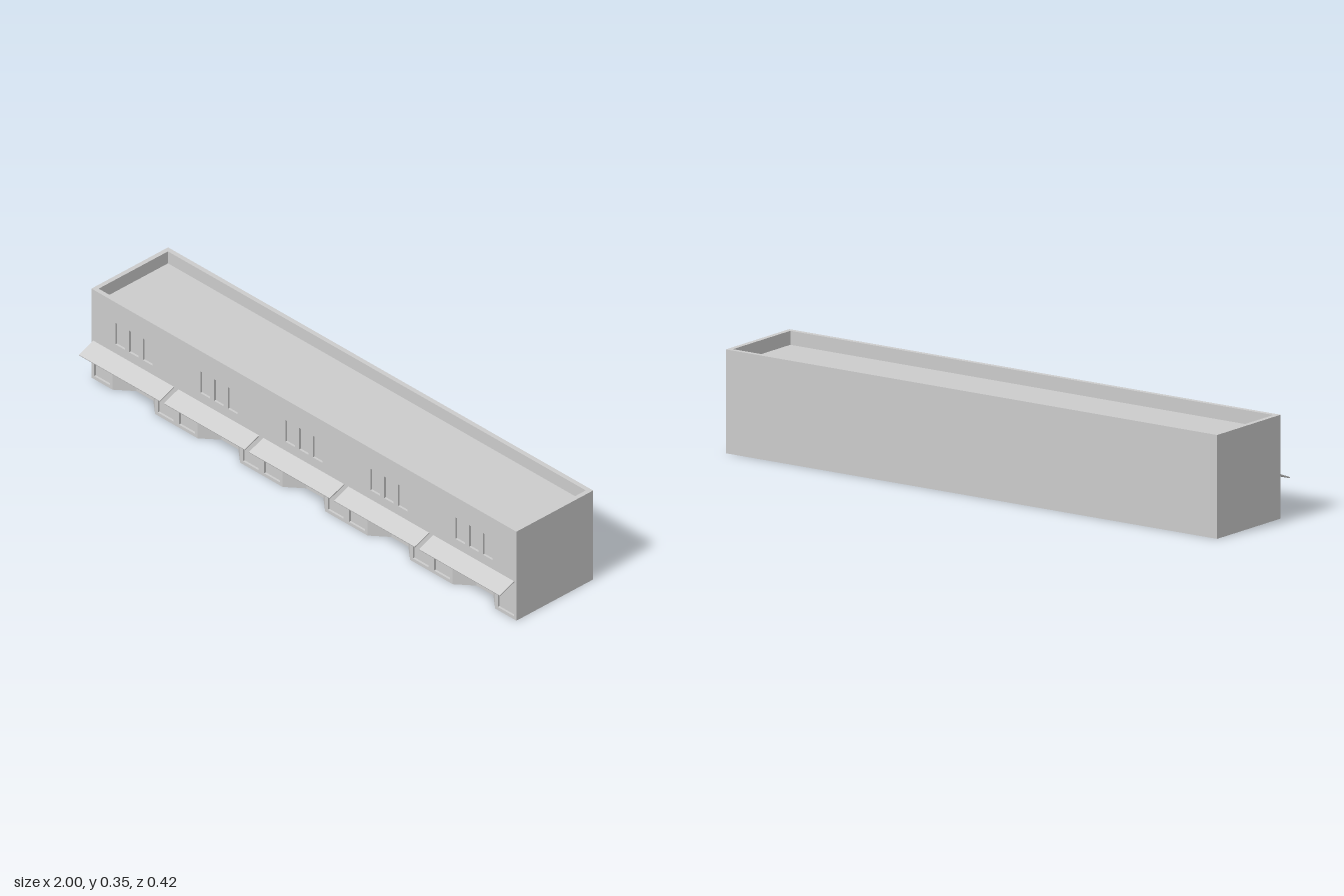
import * as THREE from 'three';

const MAT = new THREE.MeshStandardMaterial({ color: 0xcccccc, side: THREE.DoubleSide, flatShading: true });

const HEIGHT = 0.35, DEPTH = 0.35, FRONT = 0.143, MID_Z = FRONT - DEPTH / 2;
const RIM = 0.017, ROOF_DROP = 0.047;
const UNITS = 5, UNIT_W = 0.4;
const DOOR_H = 0.115, RECESS = 0.008;

// Plan of an entrance recess: x offset and distance behind the facade
const ENTRANCE = [[-0.1, 0], [-0.04, 0.05], [0.04, 0.05], [0.1, 0]];

// Windows of one unit: centre x, centre y, width, height
const WINDOWS = [
  ...[-0.065, 0, 0.065].map(x => ['upperWindow', x, 0.227, 0.045, 0.085]),
  ...[-0.15, 0.15].map(x => ['shopWindow', x, 0.056, 0.075, 0.088]),
];

function addMesh(parent, name, geometry, x = 0, y = 0, z = 0) {
  const mesh = new THREE.Mesh(geometry, MAT);
  mesh.name = name;
  mesh.position.set(x, y, z);
  parent.add(mesh);
  return mesh;
}

// Box without the listed faces (0 +x, 1 -x, 2 +y, 3 -y, 4 +z, 5 -z)
function openBox(w, h, d, dropped) {
  const geometry = new THREE.BoxGeometry(w, h, d);
  const index = Array.from(geometry.index.array);
  geometry.setIndex(index.filter((_, i) => !dropped.includes(Math.floor(i / 6))));
  geometry.clearGroups();
  return geometry;
}

function rectangle(Type, x, y, w, h) {
  const path = new Type();
  path.moveTo(x - w / 2, y - h / 2);
  path.lineTo(x + w / 2, y - h / 2);
  path.lineTo(x + w / 2, y + h / 2);
  path.lineTo(x - w / 2, y + h / 2);
  path.closePath();
  return path;
}

// Front wall with door cut-outs and window holes
function facadeGeometry(centres) {
  const shape = new THREE.Shape();
  shape.moveTo(-1, 0);
  for (const cx of centres) {
    shape.lineTo(cx - 0.1, 0);
    shape.lineTo(cx - 0.1, DOOR_H);
    shape.lineTo(cx + 0.1, DOOR_H);
    shape.lineTo(cx + 0.1, 0);
  }
  shape.lineTo(1, 0);
  shape.lineTo(1, HEIGHT);
  shape.lineTo(-1, HEIGHT);
  shape.closePath();
  for (const cx of centres)
    for (const [, x, y, w, h] of WINDOWS) shape.holes.push(rectangle(THREE.Path, cx + x, y, w, h));
  return new THREE.ShapeGeometry(shape);
}

// Splayed walls and ceiling of one entrance
function makeEntrance() {
  const group = new THREE.Group();
  group.name = 'entrance';
  for (let i = 0; i < ENTRANCE.length - 1; i++) {
    const [x0, d0] = ENTRANCE[i], [x1, d1] = ENTRANCE[i + 1];
    const panel = addMesh(group, 'entranceWall',
      new THREE.PlaneGeometry(Math.hypot(x1 - x0, d1 - d0), DOOR_H),
      (x0 + x1) / 2, DOOR_H / 2, -(d0 + d1) / 2);
    panel.rotation.y = Math.atan2(d1 - d0, x1 - x0);
  }
  const plan = new THREE.Shape(ENTRANCE.map(([x, d]) => new THREE.Vector2(x, d)));
  addMesh(group, 'entranceCeiling', new THREE.ShapeGeometry(plan).rotateX(-Math.PI / 2), 0, DOOR_H, 0);
  return group;
}

// Entrance, recessed windows and sloping awning of one shop
function makeUnit() {
  const unit = new THREE.Group();
  unit.name = 'shopUnit';
  unit.add(makeEntrance());
  for (const [name, x, y, w, h] of WINDOWS)
    addMesh(unit, name, openBox(w, h, RECESS, [4]), x, y, -RECESS / 2);

  const run = 0.066, drop = 0.025;
  const awning = addMesh(unit, 'awning',
    new THREE.BoxGeometry(0.38, 0.004, Math.hypot(run, drop)), 0, 0.136, run / 2);
  awning.rotation.x = Math.atan2(drop, run);
  return unit;
}

export function createModel() {
  const model = new THREE.Group();
  model.name = 'shopRow';
  const centres = Array.from({ length: UNITS }, (_, i) => (i - (UNITS - 1) / 2) * UNIT_W);

  // Outer shell, open underneath
  addMesh(model, 'sideAndBackWalls', openBox(2, HEIGHT, DEPTH, [2, 3, 4]), 0, HEIGHT / 2, MID_Z);
  addMesh(model, 'frontWall', facadeGeometry(centres), 0, 0, FRONT);

  // Parapet rim and the sunken roof inside it
  const innerW = 2 - 2 * RIM, innerD = DEPTH - 2 * RIM;
  const rim = rectangle(THREE.Shape, 0, 0, 2, DEPTH);
  rim.holes.push(rectangle(THREE.Path, 0, 0, innerW, innerD));
  addMesh(model, 'parapetRim', new THREE.ShapeGeometry(rim).rotateX(-Math.PI / 2), 0, HEIGHT, MID_Z);
  addMesh(model, 'sunkenRoof', openBox(innerW, ROOF_DROP, innerD, [2]), 0, HEIGHT - ROOF_DROP / 2, MID_Z);

  for (const cx of centres) {
    const unit = makeUnit();
    unit.position.set(cx, 0, FRONT);
    model.add(unit);
  }
  return model;
}
